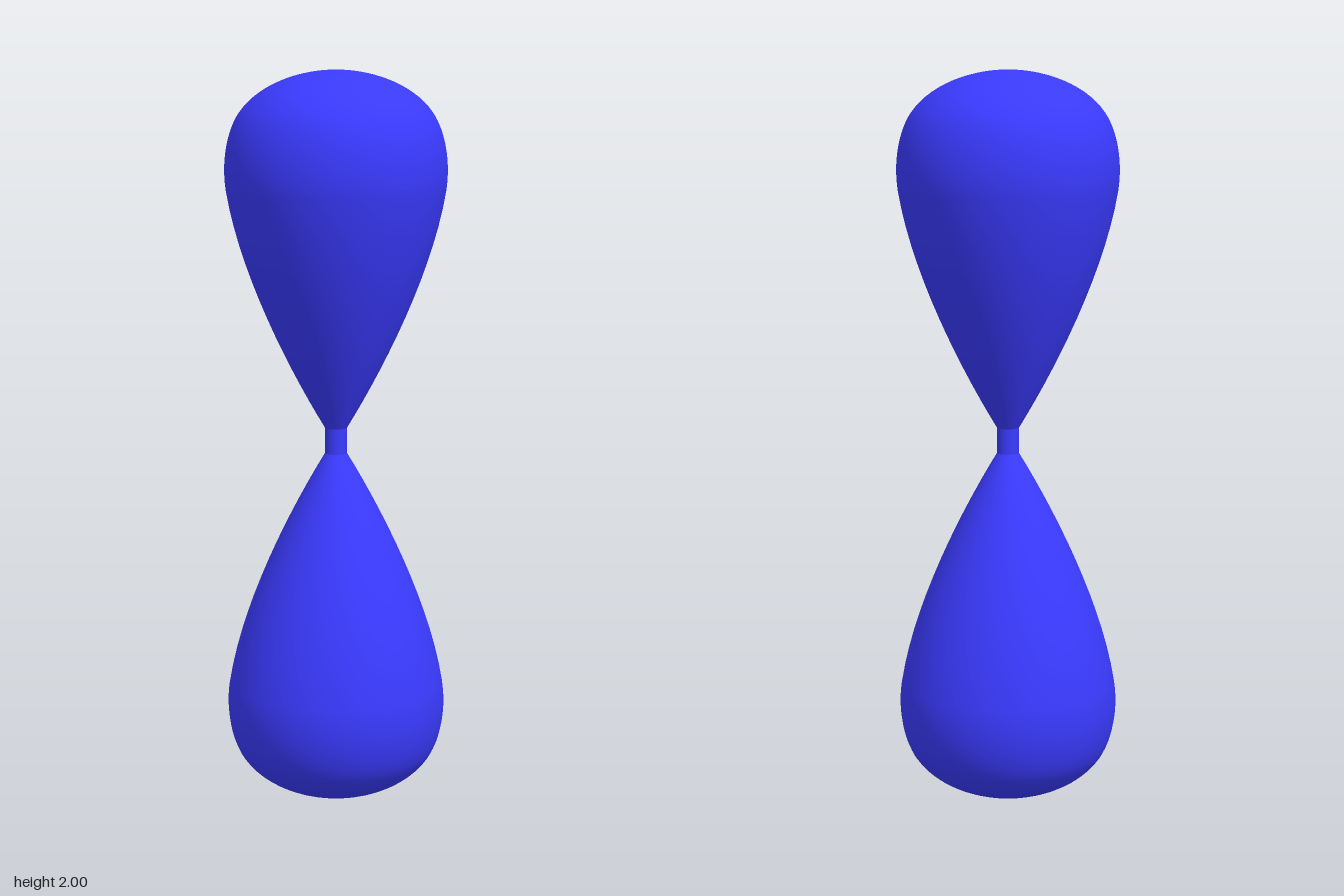
import * as THREE from 'three';

const SEGMENTS = 64;
const NECK_RADIUS = 0.03;
const NECK_HALF = 0.035;

export function createModel() {
  const group = new THREE.Group();
  const glass = new THREE.MeshStandardMaterial({ color: 0x3a3aff });
  const v = (x, y) => new THREE.Vector2(x, y);

  // Bulb half-profile: flaring cone, rounded shoulder, domed end (y measured from the waist)
  const curves = [
    [v(NECK_RADIUS, NECK_HALF), v(0.13, 0.2), v(0.26, 0.46), v(0.295, 0.68)],
    [v(0.295, 0.68), v(0.307, 0.76), v(0.29, 0.84), v(0.26, 0.885)],
    [v(0.26, 0.885), v(0.21, 0.96), v(0.1, 1), v(0, 1)],
  ];
  const profile = curves.flatMap((c, i) =>
    new THREE.CubicBezierCurve(...c).getPoints(14).slice(i ? 1 : 0));

  function addLathe(name, points) {
    const mesh = new THREE.Mesh(new THREE.LatheGeometry(points, SEGMENTS), glass);
    mesh.name = name;
    mesh.position.y = 1;
    group.add(mesh);
  }

  // Two mirrored bulbs; the lower profile is reversed so its faces point outwards
  addLathe('upperBulb', profile);
  addLathe('lowerBulb', profile.map((p) => v(p.x, -p.y)).reverse());

  // Narrow straight neck joining the bulbs
  addLathe('neck', [v(NECK_RADIUS, -NECK_HALF), v(NECK_RADIUS, NECK_HALF)]);

  return group;
}
